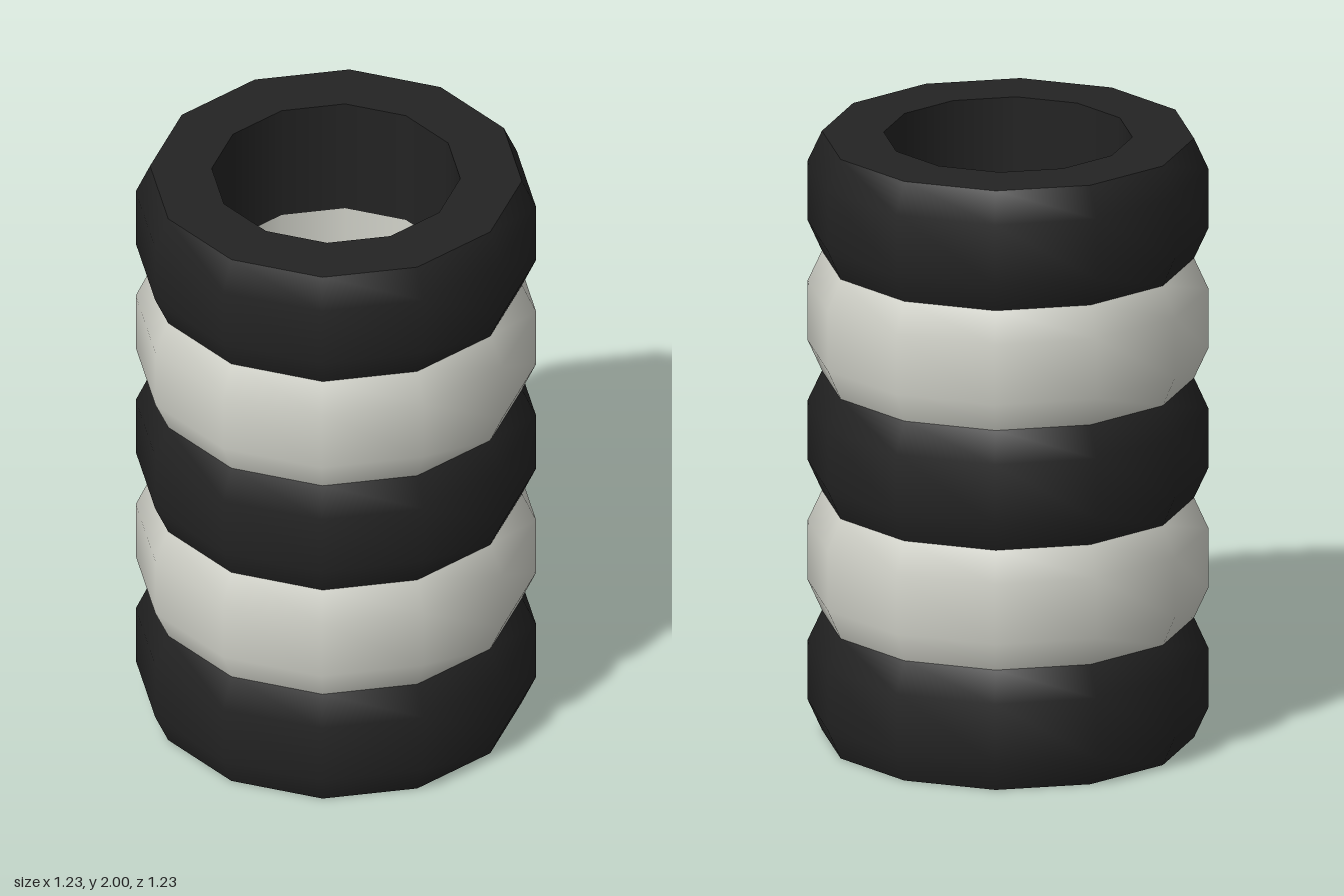
import * as THREE from 'three';
import { mergeGeometries } from 'three/addons/utils/BufferGeometryUtils.js';

const SIDES = 12;
const TURN = Math.PI / SIDES; // flats face the axes
const HEIGHT = 0.4;
const BEVEL = 0.1;
const FLAT_TO_CORNER = 1 / Math.cos(TURN);
const OUTER = 0.617 * FLAT_TO_CORNER;
const RIM = 0.573 * FLAT_TO_CORNER;
const INNER = 0.383 * FLAT_TO_CORNER;

// Smooth band swept from a profile of [radius, y] points
function band(profile) {
  const points = profile.map(([r, y]) => new THREE.Vector2(r, y));
  return new THREE.LatheGeometry(points, SIDES, TURN);
}

// One tyre: rounded tread, two flat sidewalls and a straight bore, creased where they meet
function tyreGeometry() {
  return mergeGeometries([
    band([[RIM, 0], [OUTER, BEVEL], [OUTER, HEIGHT - BEVEL], [RIM, HEIGHT]]),
    band([[RIM, HEIGHT], [INNER, HEIGHT]]),
    band([[INNER, HEIGHT], [INNER, 0]]),
    band([[INNER, 0], [RIM, 0]]),
  ]);
}

export function createModel() {
  const group = new THREE.Group();
  group.name = 'tyreStack';

  const black = new THREE.MeshStandardMaterial({ color: 0x232323 });
  black.name = 'black rubber';
  const white = new THREE.MeshStandardMaterial({ color: 0xd2d3ca });
  white.name = 'white paint';

  // Five stacked tyres in alternating colours
  const geometry = tyreGeometry();
  for (let i = 0; i < 5; i++) {
    const tyre = new THREE.Mesh(geometry, i % 2 ? white : black);
    tyre.name = `${i % 2 ? 'white' : 'black'}Tyre${i + 1}`;
    tyre.position.y = i * HEIGHT;
    group.add(tyre);
  }
  return group;
}
